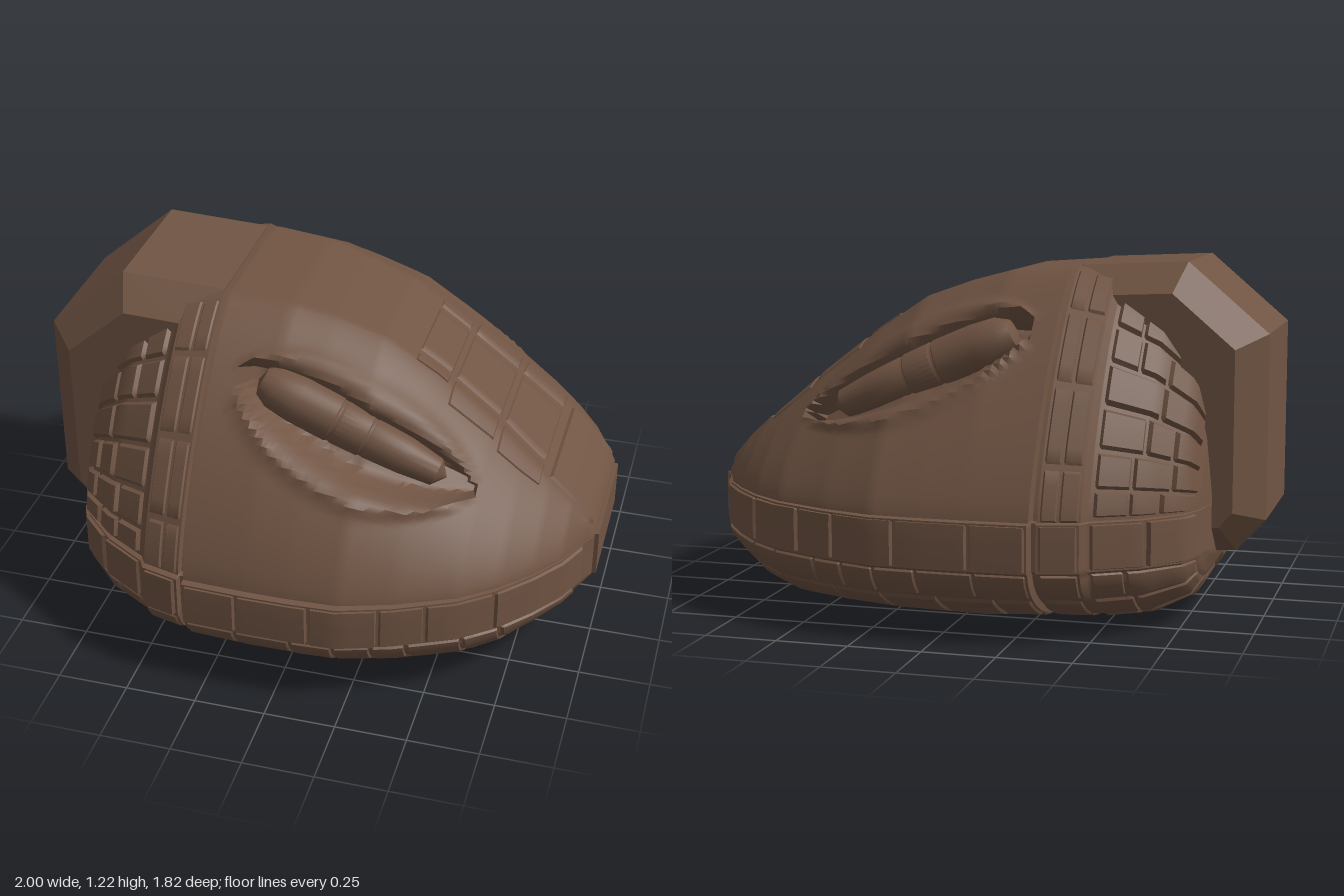
import * as THREE from 'three';
import { mergeGeometries, toCreasedNormals } from 'three/addons/utils/BufferGeometryUtils.js';

// Hull stations: x, bottom y, bottom half width, belt half width, top y, top half width
const STATIONS = [
  [-0.832, 0.4, 0, 0, 0.4, 0],
  [-0.83, 0.22, 0.20, 0.38, 0.62, 0.18],
  [-0.81, 0.16, 0.25, 0.49, 0.78, 0.20],
  [-0.77, 0.09, 0.29, 0.59, 0.91, 0.22],
  [-0.65, 0.04, 0.36, 0.71, 1.05, 0.25],
  [-0.50, 0.03, 0.40, 0.80, 1.14, 0.26],
  [-0.48, 0.03, 0.40, 0.835, 1.17, 0.26],
  [-0.345, 0.03, 0.42, 0.87, 1.2, 0.26],
  [-0.34, 0.05, 0.42, 0.845, 1.175, 0.25],
  [-0.325, 0.05, 0.42, 0.845, 1.175, 0.25],
  [-0.32, 0.03, 0.42, 0.89, 1.195, 0.26],
  [-0.10, 0.02, 0.43, 0.898, 1.18, 0.24],
  [0.05, 0.02, 0.42, 0.898, 1.14, 0.22],
  [0.22, 0.02, 0.41, 0.89, 1.08, 0.21],
  [0.40, 0.02, 0.37, 0.83, 0.96, 0.20],
  [0.60, 0.02, 0.30, 0.735, 0.805, 0.21],
  [0.72, 0.05, 0.26, 0.64, 0.70, 0.23],
  [0.82, 0.12, 0.25, 0.53, 0.615, 0.24],
  [0.90, 0.17, 0.245, 0.42, 0.54, 0.24],
  [0.96, 0.21, 0.24, 0.29, 0.47, 0.24],
  [0.985, 0.24, 0.235, 0.25, 0.42, 0.235],
  [0.986, 0.33, 0, 0, 0.33, 0],
];
const U_MAX = STATIONS.length - 1;
const lerp = THREE.MathUtils.lerp;

function toU(x) {
  let i = 0;
  while (i < U_MAX - 1 && STATIONS[i + 1][0] < x) i++;
  return i + (x - STATIONS[i][0]) / (STATIONS[i + 1][0] - STATIONS[i][0]);
}

// Rounded corner between two points; n sets how square it is
const corner = (t, n) => [Math.cos(t * Math.PI / 2), Math.sin(t * Math.PI / 2)].map((c) => Math.max(c, 0) ** (2 / n));

// Hull skin: u runs back to nose, v runs bottom centre to top centre
function skin(u, v, s) {
  const i = Math.min(Math.floor(u), U_MAX - 1);
  const [x, yb, wb, w, yt, wt] = STATIONS[i].map((a, k) => lerp(a, STATIONS[i + 1][k], u - i));
  const lo = Math.max(0.25, yb), hi = Math.min(0.41, yt);
  let y, z;
  if (v <= 0.15) { y = yb; z = wb * v / 0.15; }
  else if (v < 0.35) {
    const [a, b] = corner((0.35 - v) / 0.2, 1.75);
    z = lerp(wb, w * 0.985, a); y = lerp(lo, yb, b);
  } else if (v <= 0.45) { z = w; y = lerp(lo, hi, (v - 0.35) / 0.1); }
  else if (v < 0.9) {
    const [a, b] = corner((v - 0.45) / 0.45, 1.33);
    z = lerp(wt, w * 0.975, a); y = lerp(hi, yt, b);
  } else { z = wt * (1 - v) / 0.1; y = yt; }
  // Almond side hollow with a soft raised rim
  if (v > 0.45 && v < 0.9) {
    const dx = x + 0.23, dy = y - 1.03, c = 0.918, d = 0.396;
    const t = (dx * c - dy * d) / 0.89;
    if (t > 0.001 && t < 0.999) {
      const r = Math.abs(dx * d + dy * c) / (0.105 * Math.sin(Math.PI * t ** 0.8) ** 0.6);
      const depth = 0.11 * (1 - THREE.MathUtils.smoothstep(r, 0.45, 1));
      const rim = 0.016 * Math.exp(-(((r - 1.25) / 0.2) ** 2));
      z += rim - depth;
      y += 0.5 * rim - 0.5 * depth;
    }
  }
  return new THREE.Vector3(x, y, z * s);
}

function skinNormal(u, v, s) {
  const e = 0.01;
  const du = skin(Math.min(u + e, U_MAX), v, s).sub(skin(Math.max(u - e, 0), v, s));
  const dv = skin(u, Math.min(v + e, 1), s).sub(skin(u, Math.max(v - e, 0), s));
  return du.cross(dv).multiplyScalar(s).normalize();
}

// Surface patch over lists of u and v, lifted by height(i, j)
function patch(us, vs, s, height) {
  const pos = [], idx = [], n = vs.length;
  us.forEach((u, i) => vs.forEach((v, j) => {
    const p = skin(u, v, s);
    const h = height(i, j);
    if (h) p.addScaledVector(skinNormal(u, v, s), h);
    pos.push(p.x, p.y, p.z);
    if (i && j) {
      const a = (i - 1) * n + j - 1, b = i * n + j - 1, c = b + 1, d = a + 1;
      if (s > 0) idx.push(a, b, c, a, c, d);
      else idx.push(a, c, b, a, d, c);
    }
  }));
  const g = new THREE.BufferGeometry();
  g.setAttribute('position', new THREE.Float32BufferAttribute(pos, 3));
  g.setIndex(idx);
  return toCreasedNormals(g, 0.65);
}

// Bevelled armour plate on the skin, on both sides
function plate(x0, x1, v0, v1, h) {
  const a = toU(x0), b = toU(x1), a2 = toU(x0 + 0.008), b2 = toU(x1 - 0.008);
  const us = [a, a2];
  for (let u = Math.ceil(a2 * 4 + 0.2) / 4; u < b2 - 0.05; u += 0.25) us.push(u);
  us.push(b2, b);
  const vs = [v0];
  const lo = v0 > 0 ? v0 + 0.006 : 0, hi = v1 < 1 ? v1 - 0.006 : 1;
  for (let k = v0 > 0 ? 0 : 1; k <= 5; k++) vs.push(lerp(lo, hi, k / 5));
  if (v1 < 1) vs.push(v1);
  const edge = (i, j) => i === 0 || i === us.length - 1 || (j === 0 && v0 > 0) || (j === vs.length - 1 && v1 < 1);
  return [1, -1].map((s) => patch(us, vs, s, (i, j) => (edge(i, j) ? -0.004 : h)));
}

export function createModel() {
  const model = new THREE.Group();
  const brown = new THREE.MeshStandardMaterial({ color: 0x705443 });
  brown.name = 'brown hull';
  const add = (name, geo) => {
    const m = new THREE.Mesh(geo, brown);
    m.name = name;
    model.add(m);
    return m;
  };
  let seed = 7;
  const rand = () => (seed = (seed * 16807) % 2147483647) / 2147483647;

  // Main hull
  const us = Array.from({ length: U_MAX * 8 + 1 }, (_, i) => i / 8);
  const vs = Array.from({ length: 121 }, (_, i) => i / 120);
  add('hull', mergeGeometries([1, -1].map((s) => patch(us, vs, s, () => 0))));

  // Row of plates of uneven length
  const row = (x0, x1, v0, v1, h, size) => {
    const out = [];
    for (let x = x0; x < x1 - 0.03;) {
      let end = x + size * (0.7 + 0.6 * rand());
      if (end > x1 - size * 0.5) end = x1;
      out.push(...plate(x, end - 0.004, v0, v1, h * (0.75 + 0.4 * rand())));
      x = end;
    }
    return out;
  };

  // Belt and underside plating, in sections split by the ring groove
  const belt = [], lower = [];
  for (const [x0, x1] of [[-0.805, -0.5], [-0.475, -0.348], [-0.315, 0.96]]) {
    belt.push(...row(x0, x1, 0.352, 0.448, 0.012, 0.2));
    for (const [a, b] of [[0.05, 0.1], [0.103, 0.15], [0.155, 0.21], [0.215, 0.28], [0.285, 0.345]]) {
      lower.push(...row(x0, Math.min(x1, 0.94), a, b, 0.008, 0.16));
    }
  }
  add('beltPlates', mergeGeometries(belt));
  add('undersidePlates', mergeGeometries(lower));
  add('keelPlate', mergeGeometries(plate(-0.1, 0.6, 0, 0.14, 0.017)));

  // Rear shoulder tiles and ring band
  const tiles = [];
  for (let k = 0; k < 6; k++) {
    const v = 0.47 + k * 0.058;
    tiles.push(...row(-0.8, -0.505, v, v + 0.055, 0.015, 0.1));
  }
  for (let k = 0; k < 4; k++) {
    const v = 0.46 + k * 0.1;
    tiles.push(...plate(-0.475, -0.41, v, v + 0.096, 0.007), ...plate(-0.407, -0.35, v, v + 0.096, 0.006));
  }
  add('shoulderTiles', mergeGeometries(tiles));

  // Nose canopy panels and front shield
  const canopy = [];
  for (const [x0, x1, v] of [[0.32, 0.44, 0.88], [0.45, 0.62, 0.82], [0.63, 0.79, 0.80]]) {
    canopy.push(...plate(x0, x1, 0.925, 1, 0.005), ...plate(x0, x1, v, 0.92, 0.005));
  }
  add('canopyPanels', mergeGeometries(canopy));
  add('noseShield', mergeGeometries(plate(0.81, 0.975, 0.9, 1, 0.01)));
  const nose = add('nosePlate', new THREE.BoxGeometry(0.03, 0.17, 0.46));
  nose.position.set(0.985, 0.325, 0);

  // Chamfered rear block
  const profile = [[-1, 0.34], [-0.9, 0.23], [-0.4, 0.2], [-0.35, 1.203], [-0.72, 1.22], [-1, 0.98]];
  const block = new THREE.ExtrudeGeometry(new THREE.Shape(profile.map((p) => new THREE.Vector2(...p))), {
    depth: 0.5, bevelEnabled: true, bevelThickness: 0.11, bevelSize: 0.1, bevelOffset: -0.1, bevelSegments: 1,
  });
  block.translate(0, 0, -0.25);
  add('rearBlock', block);

  // Tapered pods lying in the side hollows
  const podProfile = [[0, 0], [0.05, 0.015], [0.075, 0.06], [0.084, 0.15], [0.084, 0.29], [0.079, 0.295], [0.079, 0.305],
    [0.082, 0.31], [0.078, 0.41], [0.073, 0.415], [0.073, 0.425], [0.075, 0.43], [0.066, 0.56], [0.05, 0.68], [0, 0.72]];
  const podGeo = toCreasedNormals(new THREE.LatheGeometry(podProfile.map((p) => new THREE.Vector2(...p)), 28), 0.6);
  for (const s of [1, -1]) {
    const pod = add(s > 0 ? 'leftPod' : 'rightPod', podGeo);
    pod.position.set(-0.17, 0.985, 0.44 * s);
    pod.quaternion.setFromUnitVectors(new THREE.Vector3(0, 1, 0), new THREE.Vector3(0.918, -0.396, 0).normalize());
  }

  // Round pads under the hull
  for (const [x, z, r] of [[-0.29, 0.29, 0.17], [-0.29, -0.29, 0.17], [-0.5, 0, 0.14]]) {
    const pad = add('undersidePad', new THREE.CylinderGeometry(r, r - 0.015, 0.025, 28));
    pad.position.set(x, 0.0275, z);
  }
  return model;
}
